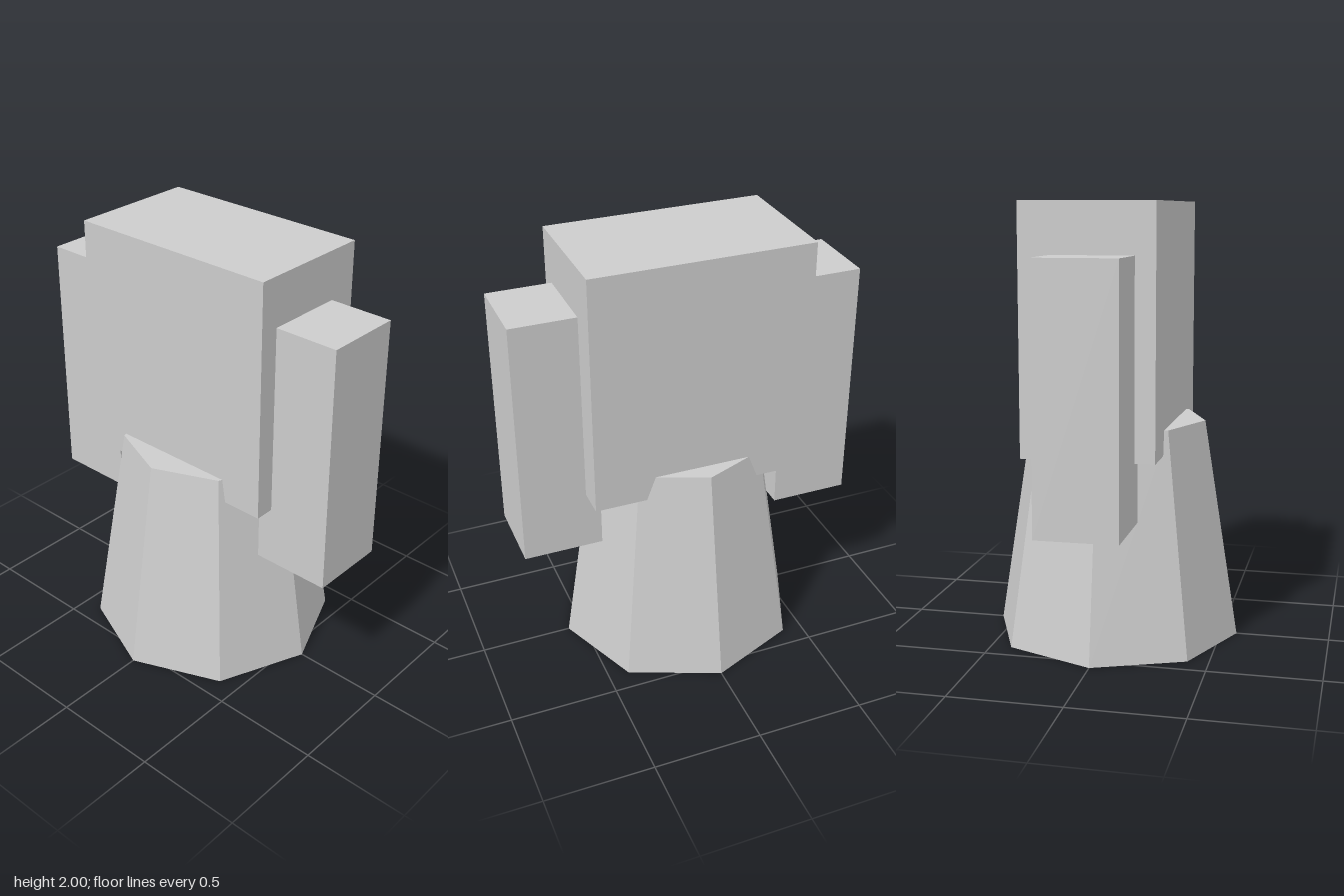
import * as THREE from 'three';

export function createModel() {
  const model = new THREE.Group();
  const grey = new THREE.MeshStandardMaterial({ color: 0xcccccc, flatShading: true });
  grey.name = 'light grey';

  const add = (name, geometry, x, y, z) => {
    const mesh = new THREE.Mesh(geometry, grey);
    mesh.name = name;
    mesh.position.set(x, y, z);
    model.add(mesh);
  };

  // Tapered eight-sided pedestal, corners on the axes
  add('pedestal', new THREE.CylinderGeometry(0.413, 0.573, 1.01, 8), 0, 0.505, 0);

  // Main block, slightly off centre in x
  add('body', new THREE.BoxGeometry(0.595, 1.1, 1.01), 0.0225, 1.45, 0);

  // Matching side blocks at the front and back
  for (const [name, side] of [['frontBlock', 1], ['backBlock', -1]]) {
    add(name, new THREE.BoxGeometry(0.365, 1.15, 0.365), -0.0025, 1.2, side * 0.62);
  }

  return model;
}
